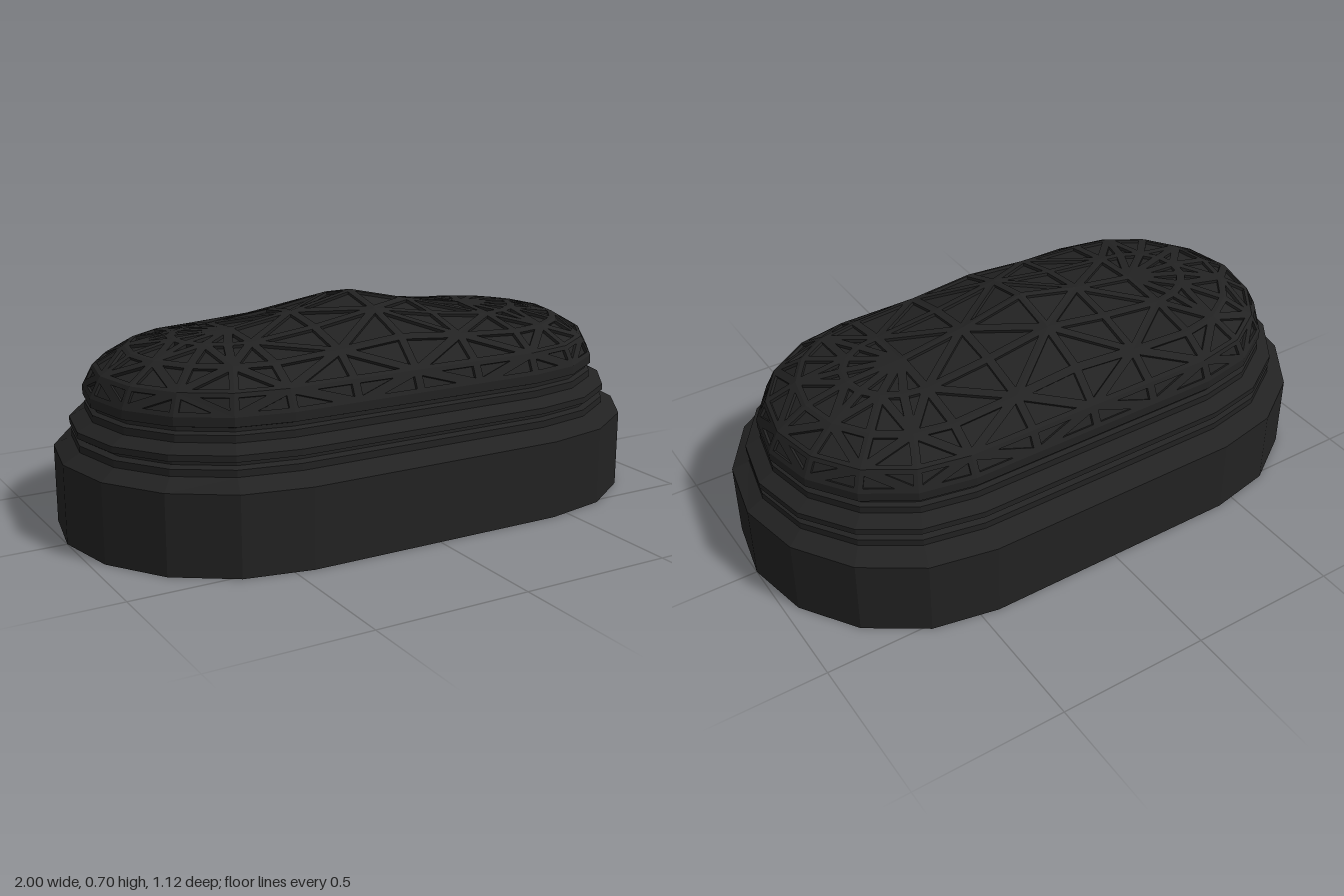
import * as THREE from 'three';

const STRAIGHT = 0.44; // half length of the straight sides
const material = new THREE.MeshStandardMaterial({ color: 0x222222, flatShading: true, side: THREE.DoubleSide });

// Rings: [half length X, half width Z, height, extra height at the middle of the long side]
const BASE = [[1, 0.56, 0], [1, 0.56, 0.255], [0.945, 0.49, 0.285]];
const MOULDING = [
  [0.945, 0.49, 0.285], [0.945, 0.49, 0.307], [0.925, 0.472, 0.315], [0.925, 0.472, 0.325],
  [0.95, 0.49, 0.33], [0.95, 0.49, 0.35], [0.9, 0.445, 0.374], [0.9, 0.445, 0.397],
  [0.885, 0.43, 0.404], [0.885, 0.43, 0.416], [0.905, 0.445, 0.421], [0.905, 0.445, 0.45],
];
const DOME = [
  [0.905, 0.445, 0.45, 0], [0.87, 0.415, 0.515, 0], [0.77, 0.32, 0.573, 0.032],
  [0.63, 0.16, 0.603, 0.062], [STRAIGHT, 0, 0.615, 0.085],
];

// Rounded oblong outline: straight sides with faceted end caps
function ring([X, Z, y, bump = 0]) {
  const points = [];
  for (const side of [1, -1]) {
    for (let i = -2; i <= 2; i++) {
      const rise = bump * Math.pow(1 - Math.abs(i) / 2, 1.3);
      points.push(new THREE.Vector3(side * i * STRAIGHT / 2, y + rise, side * Z));
    }
    for (let i = 3; i >= -3; i--) {
      const a = i * Math.PI / 8;
      points.push(new THREE.Vector3(side * (STRAIGHT + (X - STRAIGHT) * Math.cos(a)), y, side * Z * Math.sin(a)));
    }
  }
  return points;
}

// Visit every triangle between successive rings, with alternating diagonals
function eachTriangle(profile, visit) {
  const rings = profile.map(ring);
  const n = rings[0].length;
  for (let j = 0; j < rings.length - 1; j++) {
    for (let i = 0; i < n; i++) {
      const k = (i + 1) % n;
      const a = rings[j][i], b = rings[j][k], c = rings[j + 1][k], d = rings[j + 1][i];
      const tris = (i + j) % 2 ? [[a, b, c], [a, c, d]] : [[a, b, d], [b, c, d]];
      for (const t of tris) if (new THREE.Triangle(...t).getArea() > 1e-6) visit(...t);
    }
  }
}

function makeMesh(name, points) {
  const geometry = new THREE.BufferGeometry().setFromPoints(points);
  geometry.computeVertexNormals();
  const mesh = new THREE.Mesh(geometry, material);
  mesh.name = name;
  return mesh;
}

function shell(name, profile) {
  const points = [];
  eachTriangle(profile, (a, b, c) => points.push(a, b, c));
  return makeMesh(name, points);
}

// Lattice dome: each facet keeps a raised border around a sunken triangular panel
function latticeDome(profile, border, depth) {
  const frame = [], panels = [];
  eachTriangle(profile, (...t) => {
    const [a, b, c] = t;
    const la = b.distanceTo(c), lb = c.distanceTo(a), lc = a.distanceTo(b), sum = la + lb + lc;
    const triangle = new THREE.Triangle(a, b, c);
    const inRadius = 2 * triangle.getArea() / sum;
    if (inRadius < border * 1.3) {
      frame.push(a, b, c);
      return;
    }
    const centre = new THREE.Vector3().addScaledVector(a, la / sum).addScaledVector(b, lb / sum).addScaledVector(c, lc / sum);
    const normal = triangle.getNormal(new THREE.Vector3());
    const inner = t.map((p) => p.clone().lerp(centre, border / inRadius));
    const sunk = inner.map((p) => p.clone().addScaledVector(normal, -depth));
    for (let i = 0; i < 3; i++) {
      const k = (i + 1) % 3;
      frame.push(t[i], t[k], inner[k], t[i], inner[k], inner[i]);
      frame.push(inner[i], inner[k], sunk[k], inner[i], sunk[k], sunk[i]);
    }
    panels.push(...sunk);
  });
  const dome = new THREE.Group();
  dome.name = 'dome';
  dome.add(makeMesh('domeLattice', frame), makeMesh('domePanels', panels));
  return dome;
}

export function createModel() {
  const model = new THREE.Group();
  model.name = 'latticeDomeRoof';
  model.add(shell('baseWall', BASE), shell('steppedMoulding', MOULDING), latticeDome(DOME, 0.014, 0.01));
  return model;
}
